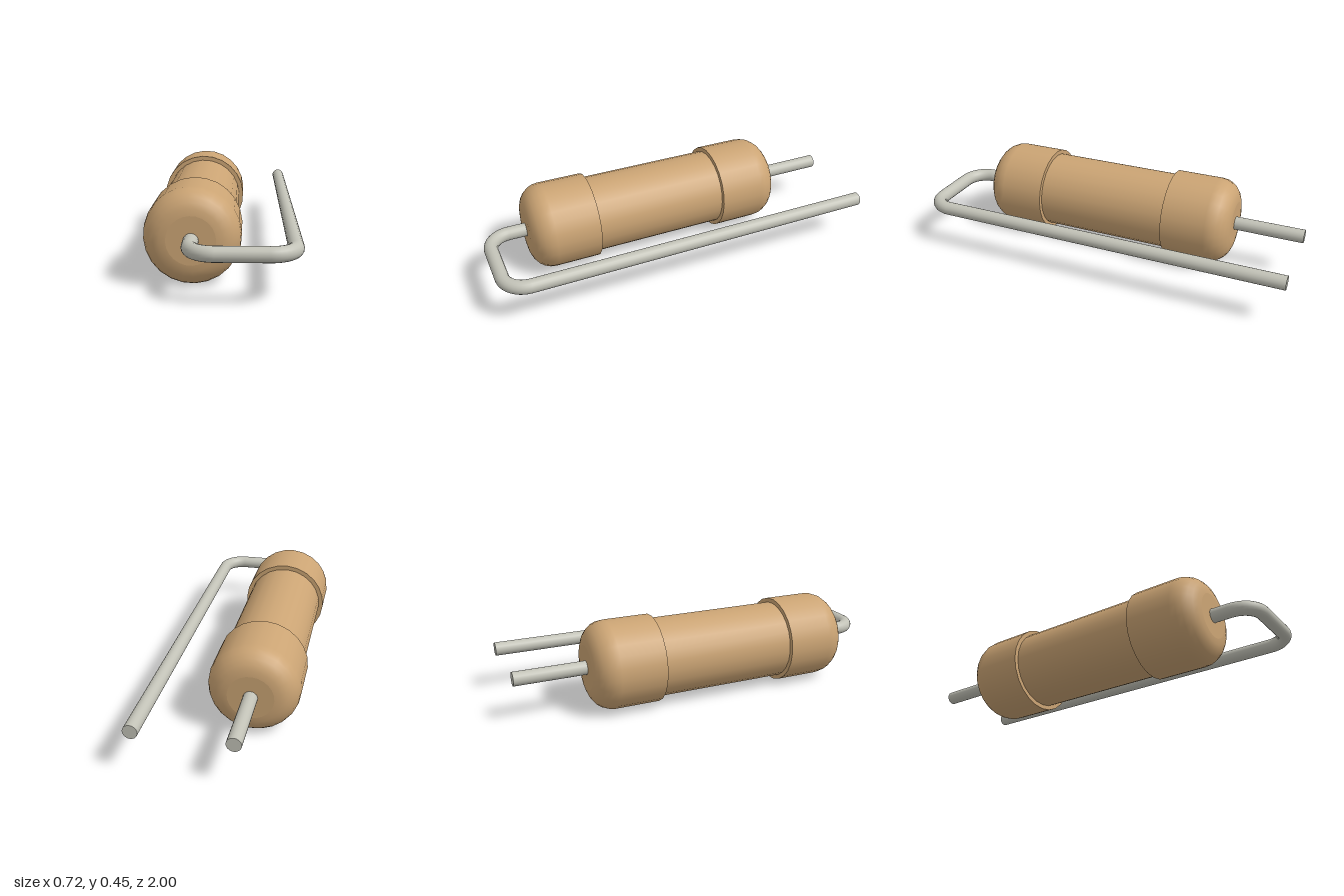
import * as THREE from 'three';
import { mergeGeometries } from 'three/addons/utils/BufferGeometryUtils.js';

const BODY_X = -0.137, LEAD_X = 0.322, AXIS_Y = 0.226, BODY_Z = 0.0615;
const CAP_R = 0.226, CORE_R = 0.203, WIRE_R = 0.0352, BEND = 0.113, FRONT_Z = 0.9648;
const HALF = 0.70, STEP = 0.353, ROUND = 0.113, TURN = Math.PI / 60;

export function createModel() {
  const model = new THREE.Group();
  const tan = new THREE.MeshStandardMaterial({ color: 0xcba474 });
  tan.name = 'tan coating';
  const metal = new THREE.MeshStandardMaterial({ color: 0xc2c2b7 });
  metal.name = 'tinned wire';

  const add = (name, geometry, material, x = 0, y = 0, z = 0) => {
    const mesh = new THREE.Mesh(geometry, material);
    mesh.name = name;
    mesh.position.set(x, y, z);
    model.add(mesh);
    return mesh;
  };

  // Separate profile pieces keep the edges between them sharp; the axis lies along z
  const turned = (pieces, start) => mergeGeometries(pieces.map((piece) =>
    new THREE.LatheGeometry(piece.map(([r, h]) => new THREE.Vector2(r, h)), 24, start)
      .rotateX(Math.PI / 2)));

  // Slim middle of the body
  add('bodyCore', turned([[[CORE_R, -STEP - 0.01], [CORE_R, STEP + 0.01]]], TURN),
    tan, BODY_X, AXIS_Y, BODY_Z);

  // Wider end caps with rounded shoulders and flat ends
  const shoulder = [[CAP_R, STEP]];
  for (let i = 0; i <= 6; i++) {
    const a = (i / 6) * Math.PI / 2;
    shoulder.push([CAP_R - ROUND + ROUND * Math.cos(a), HALF - ROUND + ROUND * Math.sin(a)]);
  }
  const capPieces = [
    [[CORE_R - 0.01, STEP], [CAP_R, STEP]],
    shoulder,
    [[CAP_R - ROUND, HALF], [0, HALF]],
  ];
  add('frontCap', turned(capPieces, TURN), tan, BODY_X, AXIS_Y, BODY_Z);
  add('rearCap', turned(capPieces, -TURN), tan, BODY_X, AXIS_Y, BODY_Z).rotation.y = Math.PI;

  // Straight runs of wire
  const rod = (length) => new THREE.CylinderGeometry(WIRE_R, WIRE_R, length, 20);
  const rodZ = (name, x, z0, z1) =>
    add(name, rod(z1 - z0).rotateX(Math.PI / 2), metal, x, AXIS_Y, (z0 + z1) / 2);
  const bendZ = FRONT_Z - BEND;
  rodZ('rearLead', BODY_X, -1, BODY_Z - HALF + 0.02);
  rodZ('frontLead', BODY_X, BODY_Z + HALF - 0.02, bendZ);
  rodZ('returnLead', LEAD_X, -1, bendZ);
  add('crossLead', rod(LEAD_X - BODY_X - 2 * BEND).rotateZ(Math.PI / 2), metal,
    (LEAD_X + BODY_X) / 2, AXIS_Y, FRONT_Z);

  // Quarter bends joining the runs
  const bend = (turn) => new THREE.TorusGeometry(BEND, WIRE_R, 20, 10, Math.PI / 2)
    .rotateZ(turn).rotateX(Math.PI / 2);
  add('leftBend', bend(0), metal, LEAD_X - BEND, AXIS_Y, bendZ);
  add('rightBend', bend(Math.PI / 2), metal, BODY_X + BEND, AXIS_Y, bendZ);

  return model;
}
